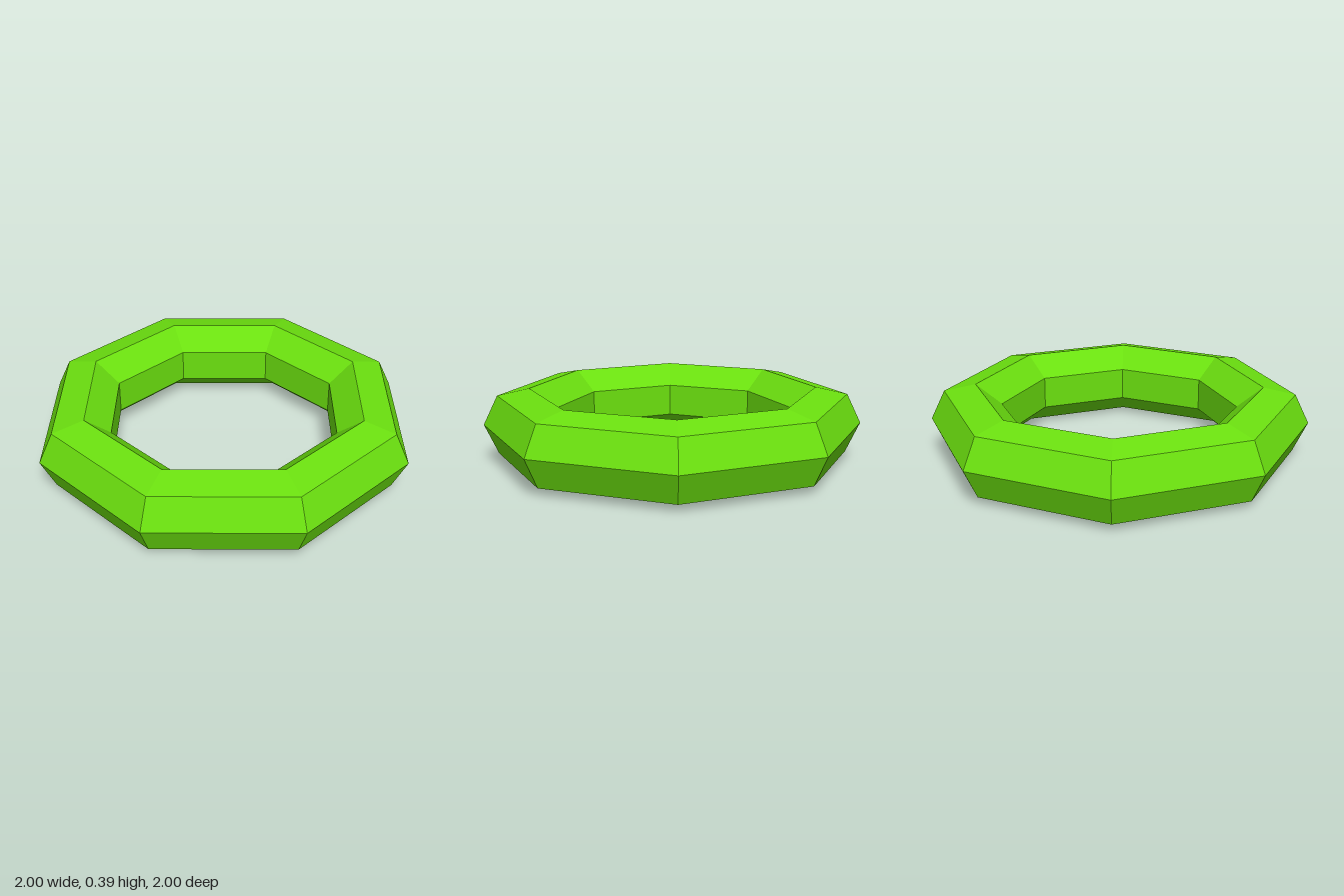
import * as THREE from 'three';

export function createModel() {
  const group = new THREE.Group();
  group.name = 'ringModel';

  const green = new THREE.MeshStandardMaterial({ color: 0x6be00f, flatShading: true });
  green.name = 'lime green';

  // Low-poly ring: seven-sided tube swept around an octagon, laid flat
  const ringRadius = 0.8, tubeRadius = 0.2, tubeSides = 7, ringSides = 8;
  const geometry = new THREE.TorusGeometry(ringRadius, tubeRadius, tubeSides, ringSides);
  geometry.rotateX(-Math.PI / 2);
  geometry.computeBoundingBox();
  geometry.translate(0, -geometry.boundingBox.min.y, 0); // rest on the ground

  const ring = new THREE.Mesh(geometry, green);
  ring.name = 'ring';
  group.add(ring);
  return group;
}
